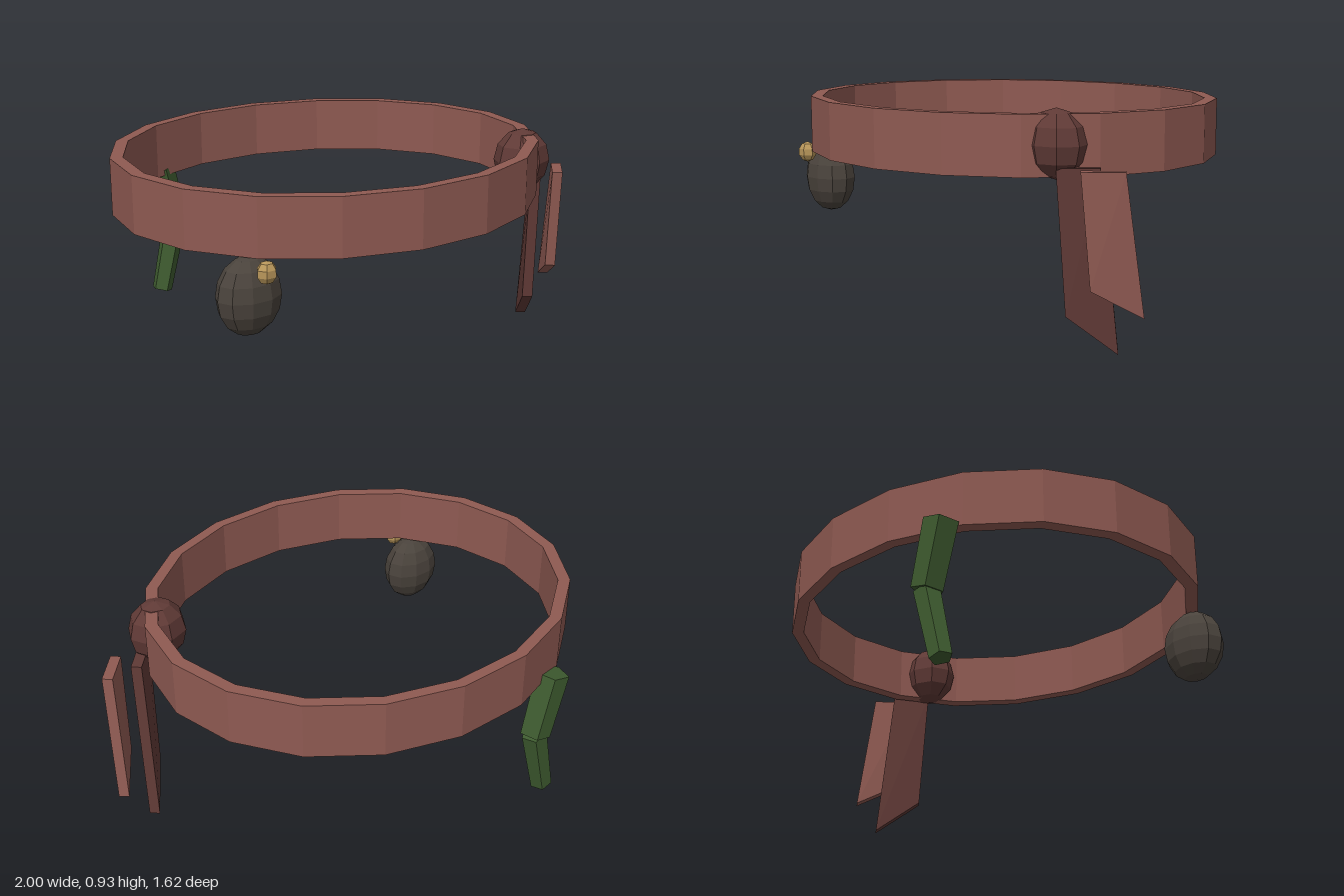
import * as THREE from 'three';

const mat = (color) => new THREE.MeshStandardMaterial({ color, flatShading: true });
const leather = mat(0x8f5a52), darkLeather = mat(0x603a36);
const green = mat(0x3f5c30), pouchBrown = mat(0x4a433c), brass = mat(0xb8965a);

export function createModel() {
  const group = new THREE.Group();

  const add = (name, geometry, material, x = 0, y = 0, z = 0) => {
    const mesh = new THREE.Mesh(geometry, material);
    mesh.name = name;
    mesh.position.set(x, y, z);
    group.add(mesh);
    return mesh;
  };

  // Faceted ellipsoid
  const blob = (name, material, center, radii, segments, rings) =>
    add(name, new THREE.SphereGeometry(1, segments, rings), material, ...center).scale.set(...radii);

  // Oval band, 18 sides, with a rectangular section
  const section = [[0.866, 0.67], [0.92, 0.67], [0.92, 0.905], [0.866, 0.905], [0.866, 0.67]];
  const band = new THREE.LatheGeometry(section.map(([r, y]) => new THREE.Vector2(r, y)), 18, Math.PI / 2);
  add('beltBand', band, leather, -0.08).scale.z = 0.822 / 0.92;

  // Knot
  blob('knot', darkLeather, [0.665, 0.79, 0.392], [0.127, 0.135, 0.11], 8, 6);

  // Hanging strap: a leaning slab with a slanted lower end
  const strap = (name, material, x0, frontY, backY) => {
    const geometry = new THREE.BoxGeometry(1, 1, 1);
    const p = geometry.attributes.position;
    for (let i = 0; i < p.count; i++) {
      const u = p.getX(i) + 0.5, v = p.getZ(i) + 0.5, low = p.getY(i) < 0;
      const x = x0 + (low ? 0.018 + 0.12 * u : 0.112 * u) + 0.032 * v;
      const z = 0.42 + (low ? -0.035 - 0.16 * u : -0.12 * u) + 0.03 * v;
      p.setXYZ(i, x, low ? THREE.MathUtils.lerp(frontY, backY, u) : 0.71, z);
    }
    geometry.computeVertexNormals();
    add(name, geometry, material);
  };
  strap('innerStrap', darkLeather, 0.695, 0.15, 0);
  strap('outerStrap', leather, 0.83, 0.27, 0.165);

  // Pouch and its clasp
  blob('pouch', pouchBrown, [-0.79, 0.515, 0.47], [0.135, 0.155, 0.1], 10, 8);
  blob('pouchClasp', brass, [-0.787, 0.635, 0.588], [0.042, 0.045, 0.038], 6, 5);

  // Bent stem: five-sided tapered segments between two points
  const stem = (name, top, bottom, rTop, rBottom) => {
    const a = new THREE.Vector2(...top), b = new THREE.Vector2(...bottom);
    const mid = a.clone().add(b).multiplyScalar(0.5);
    const geometry = new THREE.CylinderGeometry(rTop, rBottom, a.distanceTo(b), 5);
    add(name, geometry, green, mid.x, mid.y, -0.75).rotation.z = Math.atan2(b.x - a.x, a.y - b.y);
  };
  stem('upperStem', [-0.468, 0.695], [-0.4, 0.42], 0.073, 0.066);
  stem('lowerStem', [-0.398, 0.42], [-0.473, 0.12], 0.054, 0.046);

  return group;
}
